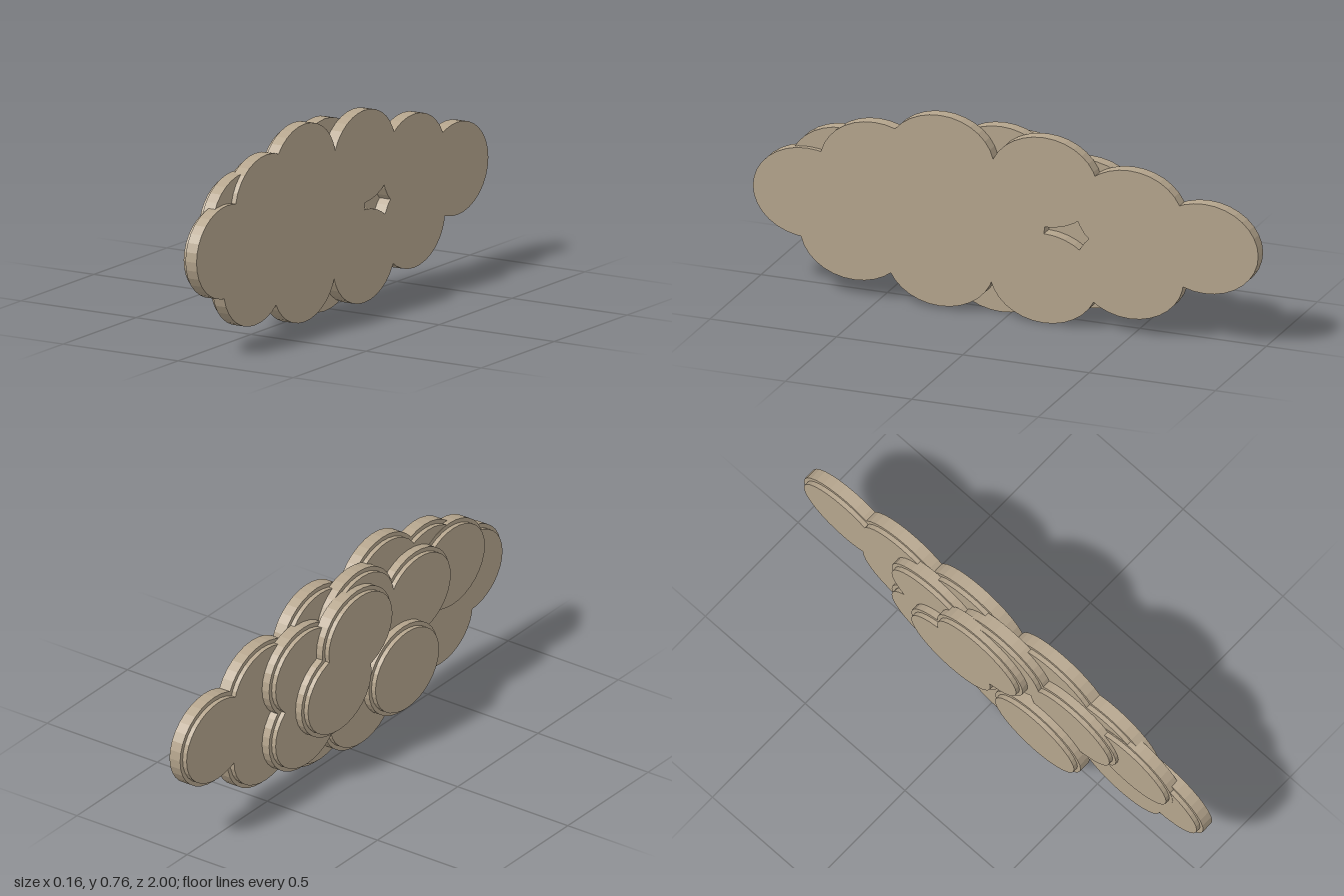
import * as THREE from 'three';

const RZ = 0.214, RY = 0.175;       // half-axes of every puff
const INSET = 0.016;                // how far the raised cap steps in
const BODY = 0.048, CAP = 0.018;    // thicknesses along x

// Each layer: the x of its flat side, and the [z, y] centres of its puffs
const LAYERS = [
  { name: 'frontLayer', x: 0.08, puffs: [
    [0.786, 0.38], [0.52, 0.518], [0.26, 0.582], [-0.15, 0.552], [-0.49, 0.47],
    [-0.786, 0.38], [-0.49, 0.24], [-0.15, 0.176], [0.26, 0.185], [0.6, 0.24],
    [0.06, 0.37], [0.36, 0.38]] },
  { name: 'tuckedLayer', x: 0.061, puffs: [[0.65, 0.472]] },
  { name: 'middleLayer', x: 0.03, puffs: [
    [0.04, 0.552], [0.395, 0.475], [-0.3, 0.47], [-0.3, 0.24], [0.04, 0.176]] },
  { name: 'backLayer', x: -0.015, puffs: [[-0.03, 0.517], [-0.16, 0.335], [0.26, 0.237]] },
];

// Flat elliptical disc facing along x
function disc(rz, ry, thickness) {
  const g = new THREE.CylinderGeometry(1, 1, thickness, 32);
  g.rotateZ(Math.PI / 2);
  g.scale(1, ry, rz);
  return g;
}

export function createModel() {
  const cloud = new THREE.Group();
  cloud.name = 'cloud';
  const material = new THREE.MeshStandardMaterial({ color: 0xb5a58d, flatShading: true });
  const bodyGeometry = disc(RZ, RY, BODY);
  const capGeometry = disc(RZ - INSET, RY - INSET, CAP);

  for (const { name, x, puffs } of LAYERS) {
    const layer = new THREE.Group();
    layer.name = name;
    for (const [z, y] of puffs) {
      // Wide puff with a smaller raised cap on its -x side
      const body = new THREE.Mesh(bodyGeometry, material);
      body.name = 'puff';
      body.position.set(x - BODY / 2, y, z);
      const cap = new THREE.Mesh(capGeometry, material);
      cap.name = 'puffCap';
      cap.position.set(x - BODY - CAP / 2, y, z);
      layer.add(body, cap);
    }
    cloud.add(layer);
  }
  return cloud;
}
